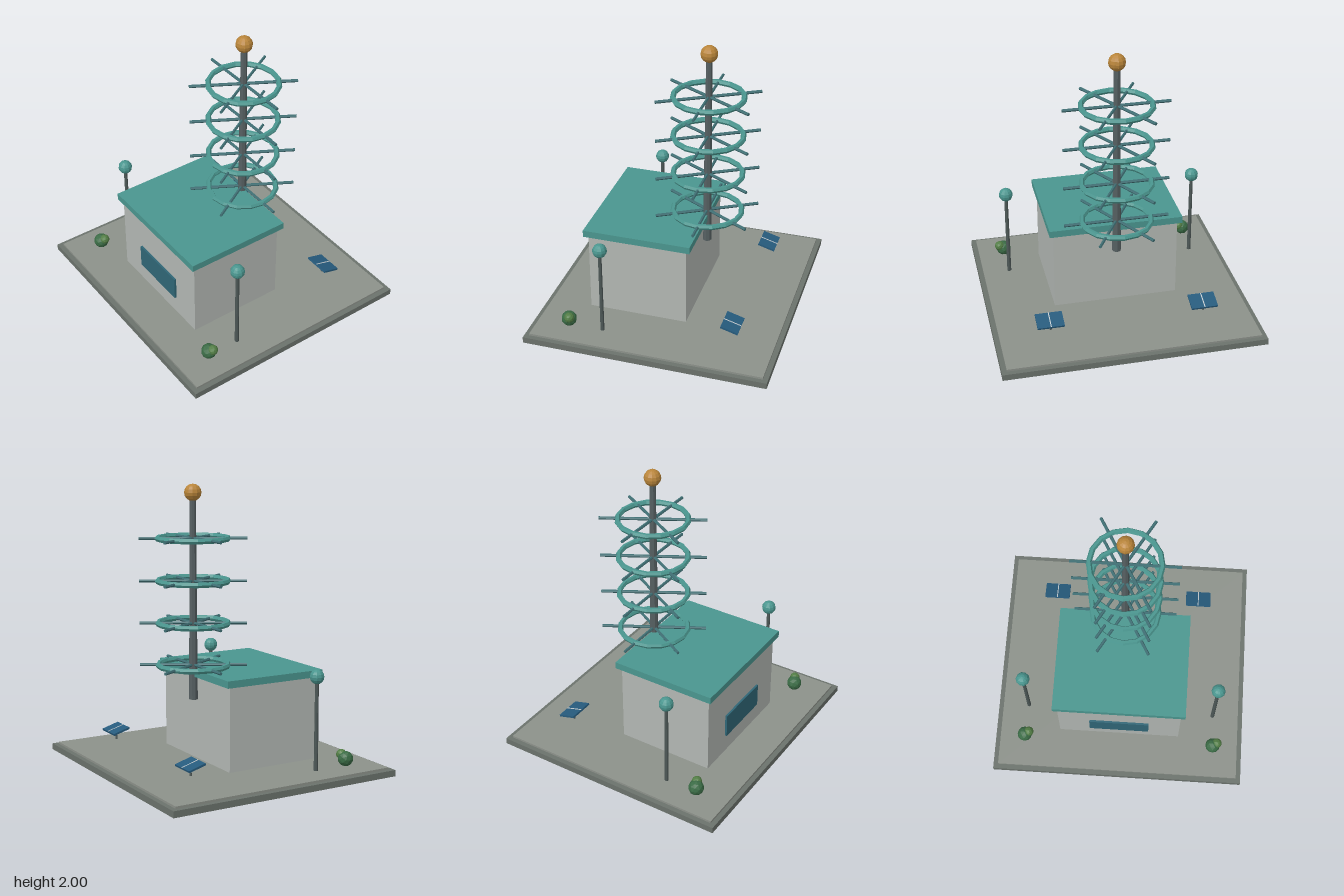
import * as THREE from 'three';

const paint = (color) => new THREE.MeshStandardMaterial({ color, flatShading: true });
const mats = {
  plinth: paint(0x6b726c), paving: paint(0x8c918a), wall: paint(0xb2b7b3), teal: paint(0x4a968f),
  window: paint(0x2f6676), mast: paint(0x566062), spoke: paint(0x3f6f74), gold: paint(0xb9853a),
  pole: paint(0x4d5857), panel: paint(0x265b7d), strip: paint(0xc4ccd0),
  leaf: paint(0x3a6b45), leafLight: paint(0x527d45),
};

function add(parent, name, geometry, material, x = 0, y = 0, z = 0) {
  const mesh = new THREE.Mesh(geometry, material);
  mesh.name = name;
  mesh.position.set(x, y, z);
  parent.add(mesh);
  return mesh;
}

// Box given by its extents along each axis
function block(parent, name, material, [x0, x1], [y0, y1], [z0, z1]) {
  return add(parent, name, new THREE.BoxGeometry(x1 - x0, y1 - y0, z1 - z0), material,
    (x0 + x1) / 2, (y0 + y1) / 2, (z0 + z1) / 2);
}

// Upright round bar between two heights
function post(parent, name, material, rTop, rBottom, y0, y1, x = 0, z = 0) {
  return add(parent, name, new THREE.CylinderGeometry(rTop, rBottom, y1 - y0, 8), material, x, (y0 + y1) / 2, z);
}

// Ring crossed by three long bars
function spokedRing(y) {
  const group = new THREE.Group();
  group.name = 'antennaRing';
  group.position.y = y;
  const ring = add(group, 'ring', new THREE.TorusGeometry(0.246, 0.02, 6, 16), mats.teal);
  ring.rotation.x = Math.PI / 2;
  for (let i = 0; i < 3; i++) {
    const bar = add(group, 'spoke', new THREE.CylinderGeometry(0.011, 0.011, 0.75, 6), mats.spoke);
    bar.rotation.set(0, i * Math.PI / 3, Math.PI / 2, 'YXZ');
  }
  return group;
}

function solarPanel(x) {
  const group = new THREE.Group();
  group.name = 'solarPanel';
  group.position.set(x, 0.197, -0.535);
  const tilted = new THREE.Group();
  tilted.name = 'tiltedPanel';
  tilted.rotation.x = -0.28;
  add(tilted, 'panel', new THREE.BoxGeometry(0.19, 0.014, 0.13), mats.panel);
  add(tilted, 'panelStrip', new THREE.BoxGeometry(0.007, 0.003, 0.13), mats.strip, 0, 0.008, 0);
  const leg = post(group, 'panelLeg', mats.pole, 0.008, 0.008, -0.075, 0);
  leg.rotation.z = -0.15;
  group.add(tilted);
  return group;
}

function bush(x) {
  const group = new THREE.Group();
  group.name = 'bush';
  group.position.set(x, 0.112, 0.61);
  add(group, 'bushBody', new THREE.IcosahedronGeometry(0.055, 1), mats.leaf);
  add(group, 'bushTuft', new THREE.IcosahedronGeometry(0.037, 1), mats.leafLight, 0.03, 0.027, -0.013);
  return group;
}

export function createModel() {
  const model = new THREE.Group();
  model.name = 'antennaStation';

  // Ground
  block(model, 'plinth', mats.plinth, [-0.935, 0.935], [0, 0.045], [-0.875, 0.875]);
  block(model, 'paving', mats.paving, [-0.9, 0.9], [0.045, 0.06], [-0.84, 0.84]);

  // Building
  block(model, 'walls', mats.wall, [-0.45, 0.45], [0.06, 0.655], [-0.17, 0.543]);
  block(model, 'roof', mats.teal, [-0.48, 0.48], [0.655, 0.705], [-0.203, 0.573]);
  block(model, 'window', mats.window, [-0.22, 0.22], [0.2, 0.375], [0.53, 0.558]);

  // Antenna mast with its rings
  const antenna = new THREE.Group();
  antenna.name = 'antenna';
  antenna.position.z = -0.195;
  post(antenna, 'mast', mats.mast, 0.022, 0.032, 0.49, 1.92);
  add(antenna, 'mastBall', new THREE.SphereGeometry(0.06, 12, 8), mats.gold, 0, 1.94, 0);
  for (let i = 0; i < 4; i++) antenna.add(spokedRing(0.737 + i * 0.296));
  model.add(antenna);

  // Lamps, panels and bushes on both sides
  for (const side of [-1, 1]) {
    post(model, 'lampPole', mats.pole, 0.013, 0.015, 0.06, 0.7, side * 0.705, 0.365);
    add(model, 'lampBall', new THREE.SphereGeometry(0.051, 10, 8), mats.teal, side * 0.705, 0.717, 0.365);
    model.add(solarPanel(side * 0.55), bush(side * 0.713));
  }
  return model;
}
